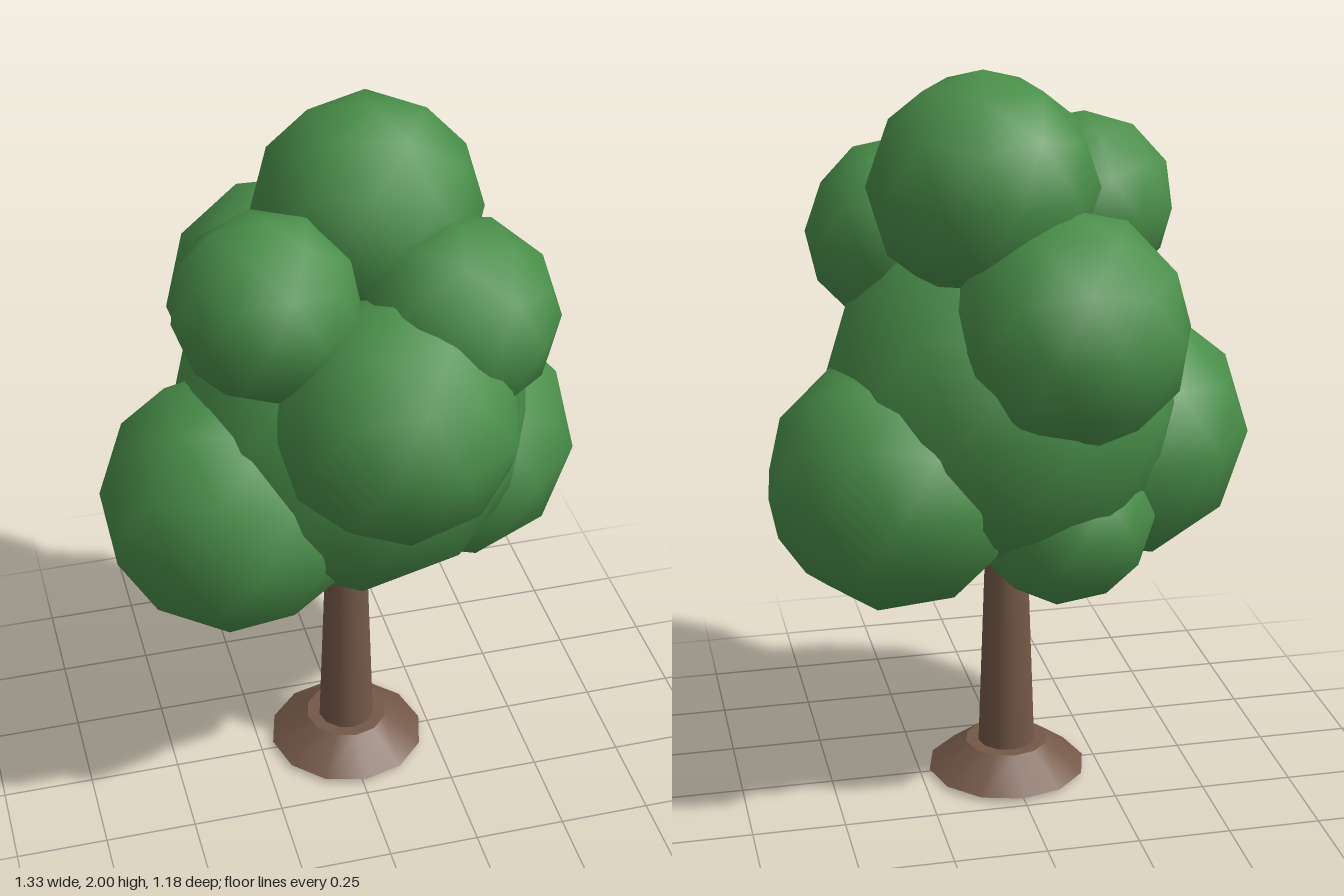
import * as THREE from 'three';
import { mergeVertices } from 'three/addons/utils/BufferGeometryUtils.js';

const leafGreen = new THREE.MeshStandardMaterial({ color: 0x4a8f4a });
leafGreen.name = 'leaf green';
const barkBrown = new THREE.MeshStandardMaterial({ color: 0x745848 });
barkBrown.name = 'bark brown';

// Coarse icosphere with a corner at the top and smooth shared normals
function clumpGeometry(radius, yaw) {
  let g = new THREE.IcosahedronGeometry(radius, 1);
  g.deleteAttribute('uv');
  g.deleteAttribute('normal');
  g = mergeVertices(g, 1e-4);
  g.rotateZ(-0.5536).rotateY(yaw);
  g.computeVertexNormals();
  return g;
}

// Tapered cylinder standing on height y0
function taper(name, rTop, rBottom, y0, y1) {
  const mesh = new THREE.Mesh(new THREE.CylinderGeometry(rTop, rBottom, y1 - y0, 12), barkBrown);
  mesh.name = name;
  mesh.position.set(0.006, (y0 + y1) / 2, -0.012);
  return mesh;
}

export function createModel() {
  const tree = new THREE.Group();
  tree.name = 'tree';

  // Trunk runs up into the crown; the root flare sits just above the ground
  tree.add(taper('trunk', 0.047, 0.083, 0, 1.0));
  tree.add(taper('rootFlare', 0.115, 0.22, 0.012, 0.09));

  // Crown clumps: name, x, y, z, radius, yaw
  const crown = new THREE.Group();
  crown.name = 'crown';
  const clumps = [
    ['coreClump', 0.02, 1.13, -0.03, 0.485, 0.2],
    ['topClump', 0.085, 1.7, -0.1, 0.3, 0.1],
    ['upperRightClump', -0.235, 1.59, 0.13, 0.245, 0.4],
    ['upperLeftClump', 0.25, 1.52, 0.18, 0.258, 0.7],
    ['frontClump', 0.06, 1.305, 0.275, 0.328, 0.3],
    ['lowerRightClump', -0.32, 0.968, 0.06, 0.357, 0.0],
    ['lowerLeftClump', 0.33, 0.935, -0.13, 0.345, 0.5],
    ['backClump', -0.095, 1.36, -0.29, 0.318, 0.9],
    ['lowerBackClump', -0.11, 0.825, -0.18, 0.245, 0.6],
  ];
  for (const [name, x, y, z, radius, yaw] of clumps) {
    const mesh = new THREE.Mesh(clumpGeometry(radius, yaw), leafGreen);
    mesh.name = name;
    mesh.position.set(x, y, z);
    crown.add(mesh);
  }
  tree.add(crown);
  return tree;
}
